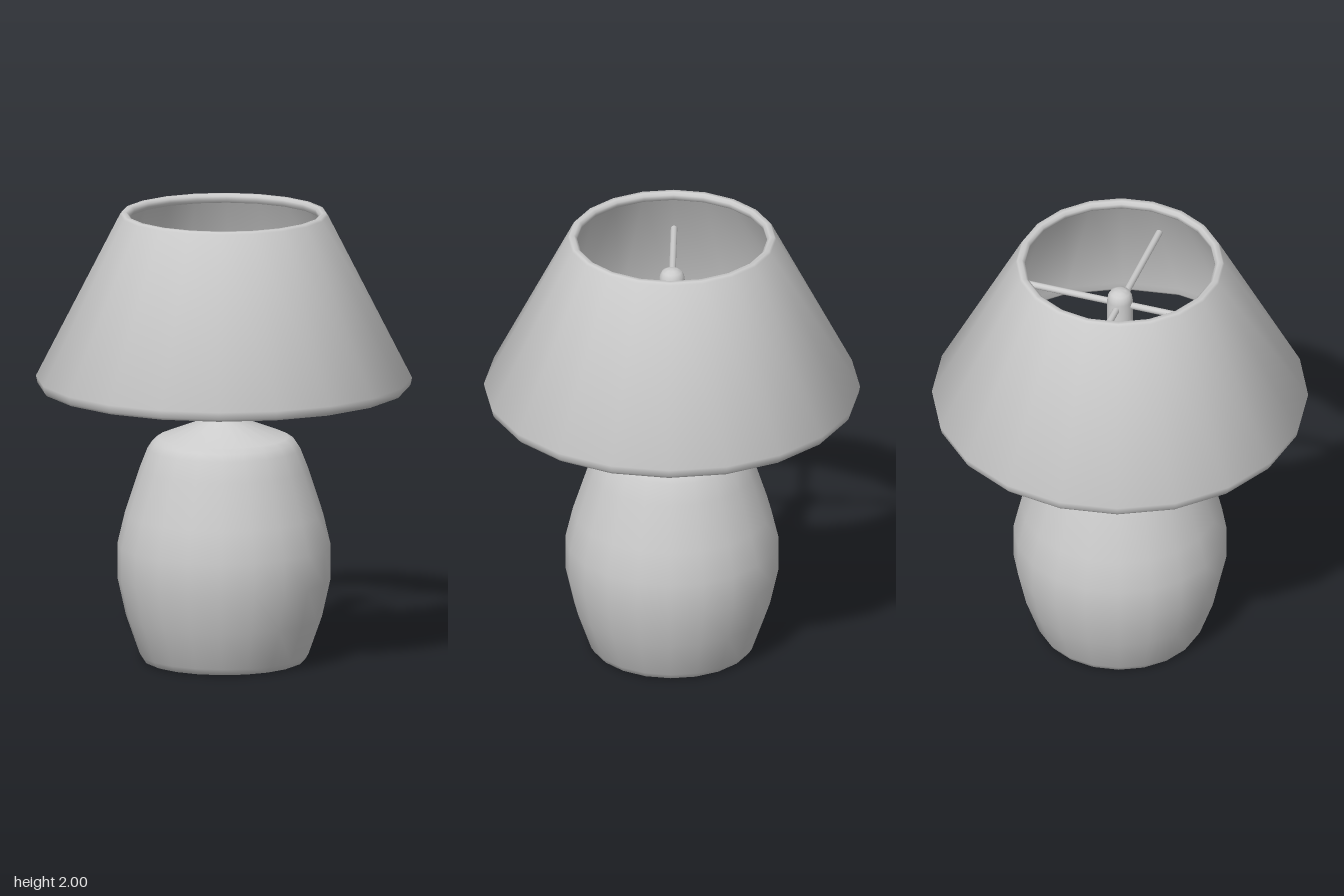
import * as THREE from 'three';
import { toCreasedNormals } from 'three/addons/utils/BufferGeometryUtils.js';

const SIDES = 20;

export function createModel() {
  const lamp = new THREE.Group();
  lamp.name = 'tableLamp';
  const material = new THREE.MeshStandardMaterial({ color: 0xcccccc });

  const add = (name, geometry) => {
    const mesh = new THREE.Mesh(geometry, material);
    mesh.name = name;
    lamp.add(mesh);
    return mesh;
  };

  // Turned part from [radius, height] pairs, listed bottom to top on the outside
  const turned = (name, profile, crease = 0.75) => {
    const points = profile.map(([r, y]) => new THREE.Vector2(r, y));
    return add(name, toCreasedNormals(new THREE.LatheGeometry(points, SIDES), crease));
  };

  // Rounded vase-like base
  turned('base', [
    [0, 0], [0.34, 0], [0.355, 0.006], [0.37, 0.03], [0.43, 0.2], [0.468, 0.37],
    [0.468, 0.52], [0.435, 0.66], [0.37, 0.86], [0.335, 0.95], [0.315, 0.98], [0.285, 1.0], [0, 1.0],
  ]);

  // Sloping cap on the base, flowing into the stem and its domed tip
  turned('capAndStem', [
    [0.285, 0.99], [0.285, 1.0], [0.08, 1.08], [0.066, 1.095], [0.056, 1.12], [0.056, 1.79],
    [0.053, 1.81], [0.043, 1.828], [0.025, 1.838], [0, 1.842],
  ]);

  // Hollow shade with a rolled lower rim and a slim upper rim
  turned('shade', [
    [0.43, 1.985], [0.79, 1.265], [0.785, 1.24], [0.795, 1.226], [0.81, 1.225],
    [0.818, 1.236], [0.825, 1.268], [0.457, 1.99], [0.45, 2.0],
    [0.43, 2.0], [0.418, 1.99], [0.418, 1.975], [0.43, 1.96],
  ], 1.1);

  // Four spokes holding the shade
  const spokes = new THREE.Group();
  spokes.name = 'spokes';
  for (let i = 0; i < 4; i++) {
    const arm = new THREE.Group();
    arm.name = 'spokeArm';
    const spoke = new THREE.Mesh(new THREE.CapsuleGeometry(0.015, 0.49, 3, 10), material);
    spoke.name = 'spoke';
    spoke.rotation.z = Math.PI / 2;
    spoke.position.set(0.285, 1.768, 0);
    arm.add(spoke);
    arm.rotation.y = (i * Math.PI) / 2;
    spokes.add(arm);
  }
  lamp.add(spokes);

  return lamp;
}
